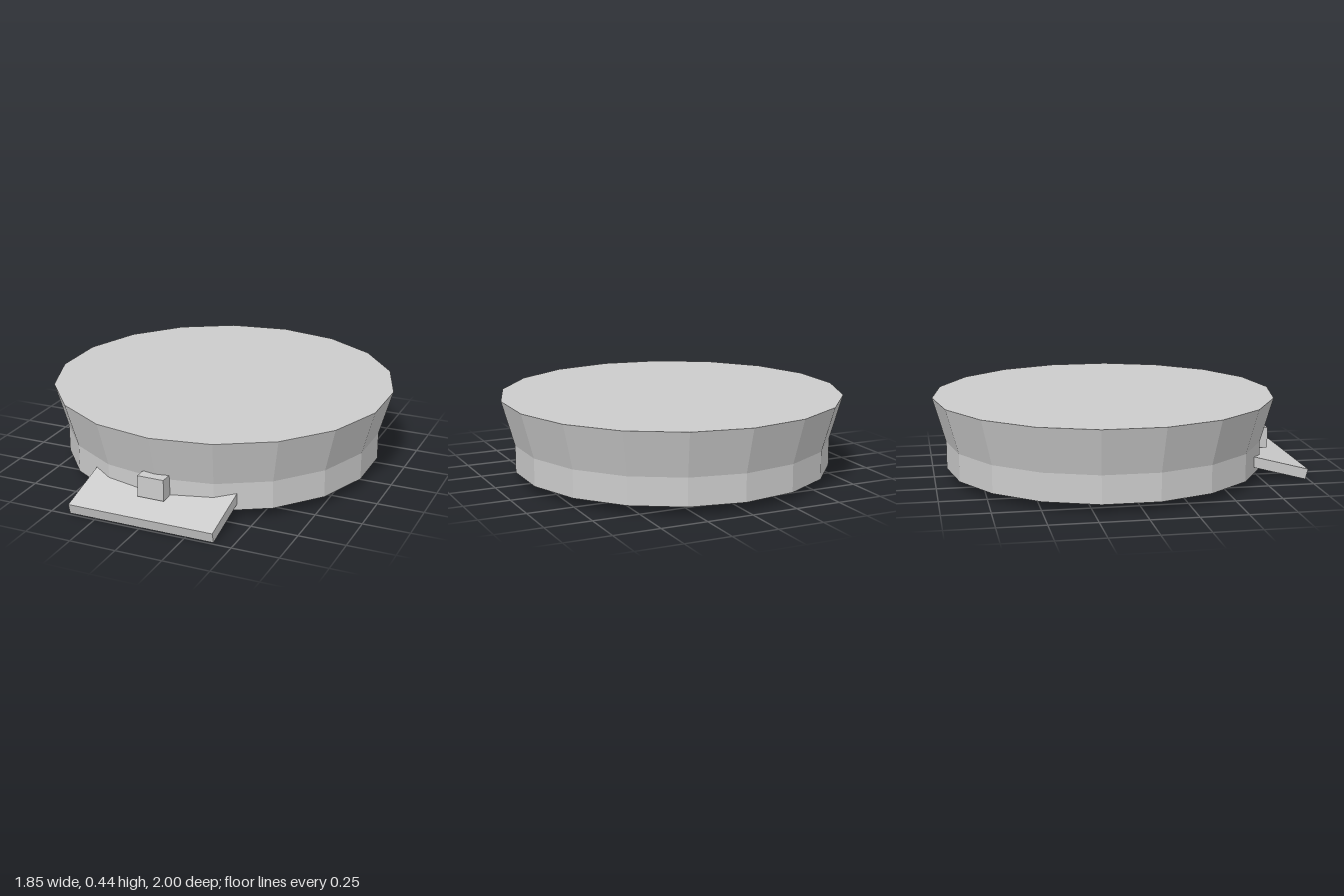
import * as THREE from 'three';

export function createModel() {
  const model = new THREE.Group();
  const grey = new THREE.MeshStandardMaterial({ color: 0xcccccc, flatShading: true });
  grey.name = 'light grey';

  function add(name, geometry, x, y, z) {
    const mesh = new THREE.Mesh(geometry, grey);
    mesh.name = name;
    mesh.position.set(x, y, z);
    model.add(mesh);
    return mesh;
  }

  // Eighteen-sided pan: straight base, flared rim, closed top and bottom
  const profile = [[0, 0.05], [0.868, 0.05], [0.868, 0.2], [0.9375, 0.445], [0, 0.445]]
    .map(([r, y]) => new THREE.Vector2(r, y));
  add('pan', new THREE.LatheGeometry(profile, 18).toNonIndexed(), 0, 0, -0.0625);

  // Sloping ramp, its rear end set into the pan
  const ramp = add('ramp', new THREE.BoxGeometry(0.8, 0.057, 0.5), 0, 0.097, 0.751);
  ramp.rotation.x = THREE.MathUtils.degToRad(15);

  // Small latch block above the ramp
  add('latch', new THREE.BoxGeometry(0.146, 0.115, 0.145), 0, 0.1675, 0.7925);

  return model;
}
